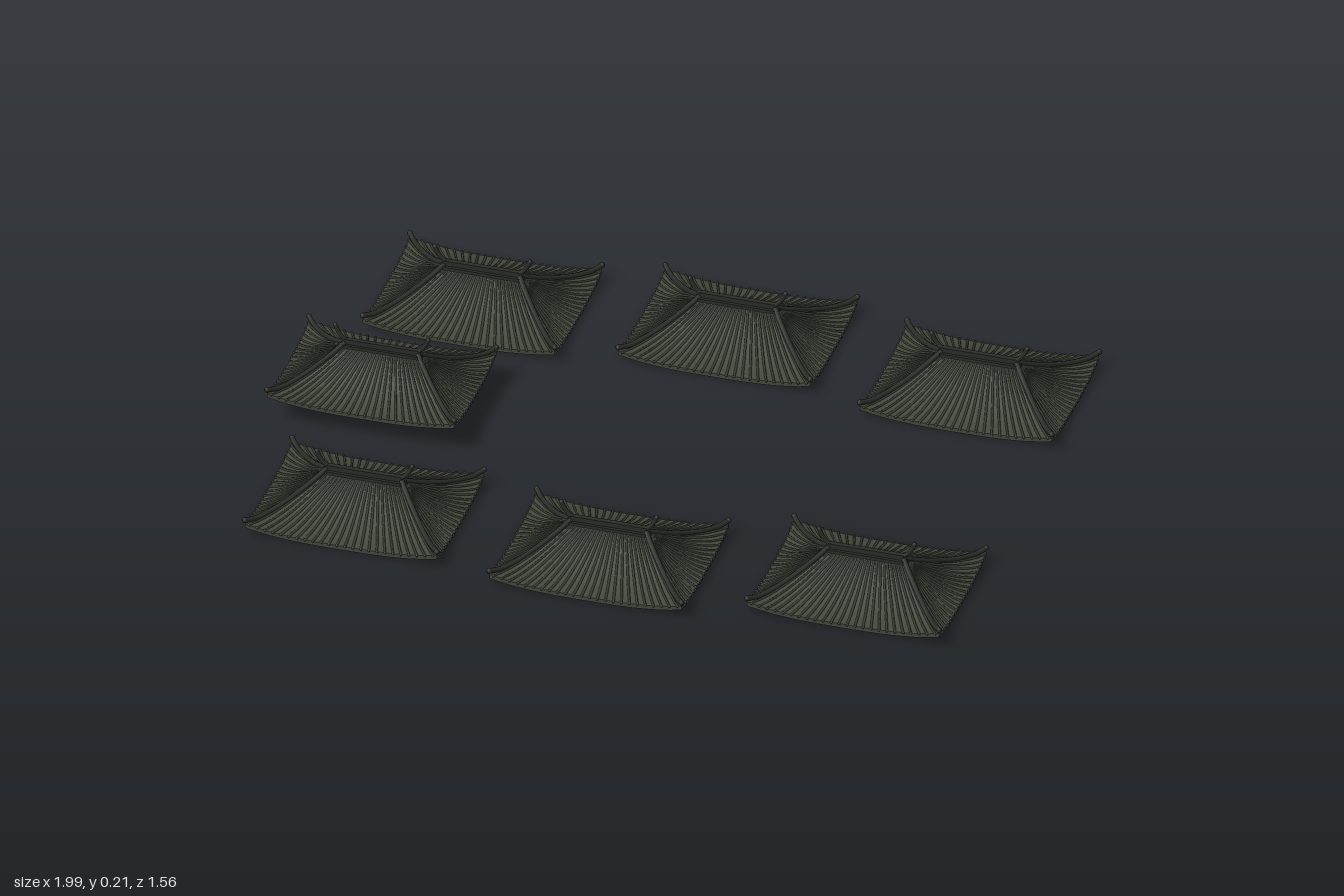
import * as THREE from 'three';
import { mergeGeometries } from 'three/addons/utils/BufferGeometryUtils.js';

const RIDGE = 0.1, HALF_W = 0.26, HALF_D = 0.208, THICK = 0.012;

// Point on one of four slopes: u runs -1..1 along the eave, t runs 0 (ridge) to 1 (eave).
function roofPoint(side, u, t, drop = 0) {
  const x = RIDGE + (HALF_W - RIDGE) * t;
  const z = HALF_D * t;
  const fall = Math.pow(Math.max(0, 1 - t), 1.45);
  const y = THICK + 0.092 * fall + 0.02 * t * t * Math.pow(Math.abs(u), 3) - drop;
  if (side === 0) return new THREE.Vector3(u * x, y, z);
  if (side === 1) return new THREE.Vector3(x, y, -u * z);
  if (side === 2) return new THREE.Vector3(-u * x, y, -z);
  return new THREE.Vector3(-x, y, u * z);
}

// Bends a plane grid by a rule of (u, v), v running 0 at its top to 1 at its bottom
function sheet(nu, nv, rule) {
  const g = new THREE.PlaneGeometry(1, 1, nu, nv);
  const p = g.attributes.position;
  for (let i = 0; i < p.count; i++) {
    const q = rule(p.getX(i) * 2, 0.5 - p.getY(i));
    p.setXYZ(i, q.x, q.y, q.z);
  }
  g.computeVertexNormals();
  return g;
}

function tube(points, radius, segments, sides) {
  return new THREE.TubeGeometry(new THREE.CatmullRomCurve3(points), segments, radius, sides);
}

function ball(at, radius, w = 6, h = 4) {
  return new THREE.SphereGeometry(radius, w, h).translate(at.x, at.y, at.z);
}

function buildGeometries() {
  const slopes = [], ribs = [], hips = [], horns = [];
  for (let side = 0; side < 4; side++) {
    // Upper surface, underside and eave edge
    slopes.push(sheet(16, 10, (u, t) => roofPoint(side, u, t)));
    slopes.push(sheet(16, 10, (u, t) => roofPoint(side, -u, t, THICK)));
    slopes.push(sheet(16, 1, (u, v) => roofPoint(side, u, 1, v * THICK)));

    // Rounded tile ribs fanning down from the ridge
    const count = side % 2 ? 18 : 24;
    for (let i = 0; i < count; i++) {
      const u = -1 + (2 * (i + 0.5)) / count;
      const path = [];
      for (let k = 0; k <= 5; k++) path.push(roofPoint(side, u, THREE.MathUtils.lerp(0.08, 1, k / 5)));
      ribs.push(tube(path, 0.0034, 8, 5), ball(path[5], 0.0042));
    }

    // Hip beam with an upturned tip
    const hip = [];
    for (let k = 0; k <= 8; k++) {
      const t = k / 8, q = roofPoint(side, 1, t);
      q.y += 0.003 + 0.008 * Math.pow(t, 10);
      hip.push(q);
    }
    hips.push(tube(hip, 0.007, 18, 8), ball(hip[8], 0.0078, 8, 6));
  }
  // Curved horns at both ends of the ridge
  for (const s of [-1, 1]) {
    const pts = [[0.088, 0.108], [0.106, 0.118], [0.12, 0.135], [0.129, 0.154]]
      .map(([x, y]) => new THREE.Vector3(s * x, y, 0));
    horns.push(tube(pts, 0.0062, 12, 8), ball(pts[0], 0.0065, 8, 6), ball(pts[3], 0.0065, 8, 6));
  }
  // Ridge beam and the wider course beneath it
  const ridge = [
    new THREE.BoxGeometry(0.205, 0.024, 0.014).translate(0, 0.106, 0),
    new THREE.BoxGeometry(0.225, 0.014, 0.03).translate(0, 0.097, 0),
  ];
  return {
    slopes: mergeGeometries(slopes), ribs: mergeGeometries(ribs), hips: mergeGeometries(hips),
    horns: mergeGeometries(horns), ridge: mergeGeometries(ridge),
  };
}

export function createModel() {
  const material = (name, color) => {
    const m = new THREE.MeshStandardMaterial({ color });
    m.name = name;
    return m;
  };
  const tile = material('grey green tile', 0x43473b);
  const rib = material('dark rib tile', 0x373a32);
  const trim = material('charcoal trim', 0x2a2c28);
  const geo = buildGeometries();

  function roof(name, x, y, z, sx = 1, sz = 1) {
    const g = new THREE.Group();
    g.name = name;
    const parts = [['roofSlopes', geo.slopes, tile], ['tileRibs', geo.ribs, rib],
      ['hipBeams', geo.hips, trim], ['ridgeBeam', geo.ridge, trim], ['ridgeHorns', geo.horns, trim]];
    for (const [part, geometry, mat] of parts) {
      const mesh = new THREE.Mesh(geometry, mat);
      mesh.name = part;
      g.add(mesh);
    }
    g.position.set(x, y, z);
    g.scale.set(sx, 1, sz);
    return g;
  }

  const model = new THREE.Group();
  model.name = 'pavilionRoofs';
  // Two mirrored rows of three, then the smaller raised gate roof
  for (const [label, s] of [['front', 1], ['back', -1]]) {
    [[-0.625, 0.517], [0.052, 0.565], [0.728, 0.495]].forEach(([x, z], i) =>
      model.add(roof(`${label}Roof${i + 1}`, x, 0, s * z)));
  }
  model.add(roof('gateRoof', -0.738, 0.052, 0, 0.975, 0.89));
  return model;
}
